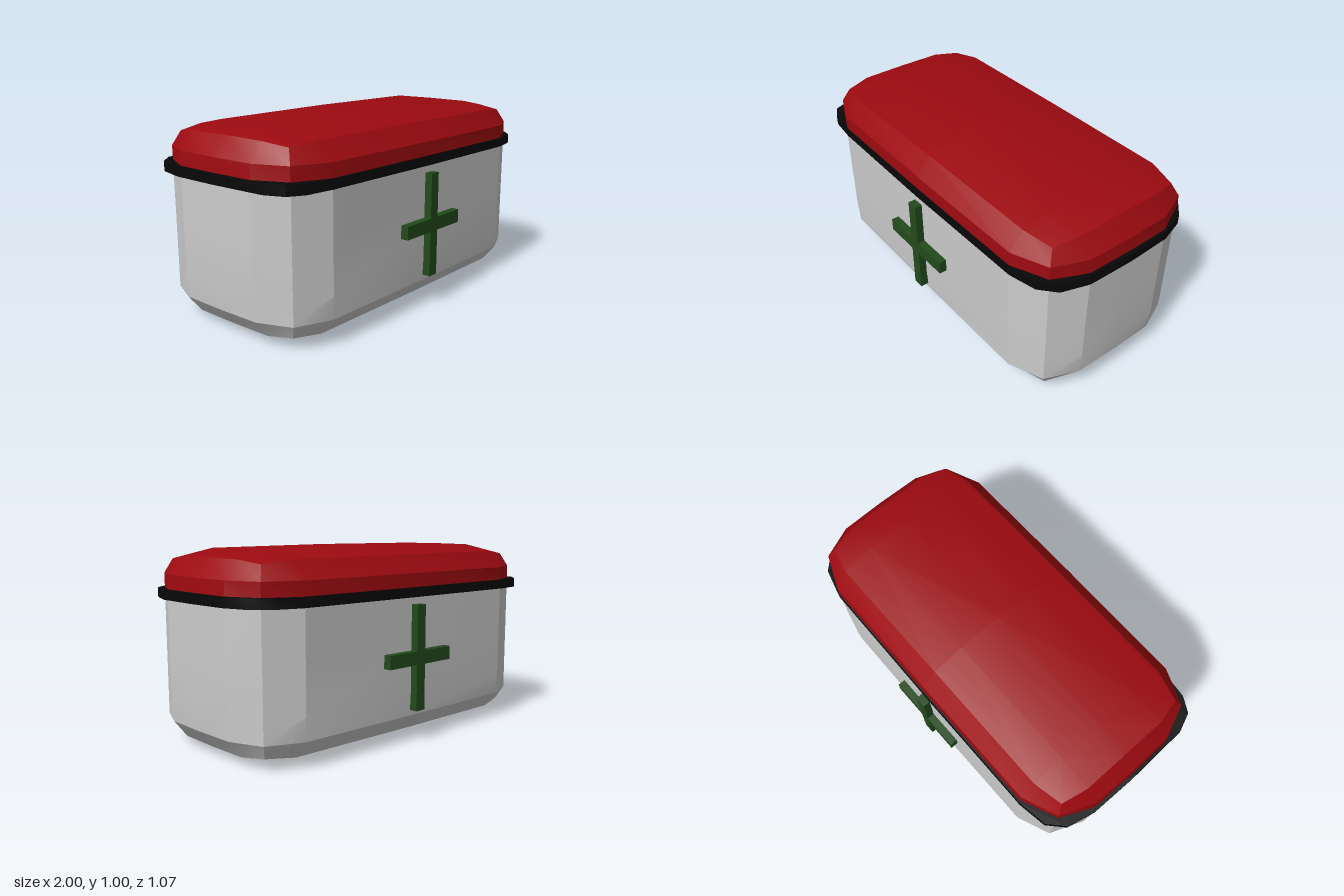
import * as THREE from 'three';
import { toCreasedNormals } from 'three/addons/utils/BufferGeometryUtils.js';

// Quarter sections [x, y, z] from front centre to side centre, rising from the base
const wall = (y) => [[0, y, 0.495], [0.72, y, 0.49], [0.9, y, 0.41], [0.98, y, 0.24], [0.985, y, 0]];
const base = [
  [[0, 0.002, 0], [0, 0.002, 0], [0, 0.002, 0], [0, 0.002, 0], [0, 0.002, 0]],
  [[0, 0.005, 0.24], [0.72, 0.01, 0.24], [0.72, 0.01, 0.24], [0.72, 0.01, 0.24], [0.72, 0.008, 0]],
  [[0, 0.043, 0.41], [0.72, 0.046, 0.41], [0.87, 0.063, 0.375], [0.9, 0.046, 0.24], [0.9, 0.043, 0]],
  [[0, 0.135, 0.489], [0.72, 0.135, 0.485], [0.9, 0.135, 0.41], [0.97, 0.135, 0.24], [0.975, 0.135, 0]],
];

// Mirror a quarter section into a closed ring
function ring(q) {
  const half = [...q, ...q.slice(0, 4).reverse().map(([x, y, z]) => [x, y, -z])];
  return [...half, ...half.slice(1, 8).reverse().map(([x, y, z]) => [-x, y, z])];
}

// Skin the rings; flip turns the shell upside down
function shell(sections, flip) {
  const rings = sections.map(ring);
  const n = rings[0].length;
  const pos = [];
  const point = (p) => new THREE.Vector3(p[0], flip ? 1 - p[1] : p[1], p[2]);
  const tri = (a, b, c) => {
    const area = b.clone().sub(a).cross(c.clone().sub(a)).length();
    if (area < 1e-7) return;
    for (const v of flip ? [a, c, b] : [a, b, c]) pos.push(v.x, v.y, v.z);
  };
  for (let r = 0; r < rings.length - 1; r++) {
    for (let i = 0; i < n; i++) {
      const j = (i + 1) % n;
      const a = point(rings[r][i]), b = point(rings[r][j]);
      const c = point(rings[r + 1][j]), d = point(rings[r + 1][i]);
      tri(a, b, c);
      tri(a, c, d);
    }
  }
  const g = new THREE.BufferGeometry();
  g.setAttribute('position', new THREE.Float32BufferAttribute(pos, 3));
  return toCreasedNormals(g, 0.41);
}

export function createModel() {
  const group = new THREE.Group();
  const add = (name, geometry, color, parent = group) => {
    const mesh = new THREE.Mesh(geometry, new THREE.MeshStandardMaterial({ color, side: THREE.DoubleSide }));
    mesh.name = name;
    parent.add(mesh);
    return mesh;
  };

  // Case and lid meet inside the rim
  add('caseBody', shell([...base, wall(0.25), wall(0.5), wall(0.77)], false), 0xcccccc);
  add('lid', shell([...base, wall(0.23)], true), 0x9c0a10);

  // Slightly uneven dark band around the seam
  const outline = [
    [-0.72, 0.492], [-0.87, 0.475], [-0.95, 0.43], [-0.99, 0.33], [-1, 0],
    [-0.995, -0.25], [-0.96, -0.4], [-0.88, -0.475], [-0.73, -0.5], [0, -0.5],
    [0.73, -0.493], [0.87, -0.455], [0.95, -0.37], [0.99, -0.24], [1, 0],
    [0.995, 0.25], [0.95, 0.39], [0.87, 0.46], [0.73, 0.493], [0, 0.5],
  ];
  const shape = new THREE.Shape(outline.map(([x, z]) => new THREE.Vector2(x, -z)));
  const inner = outline.map(([x, z]) => new THREE.Vector2(x * 0.88, -z * 0.8));
  shape.holes.push(new THREE.Path(inner));
  const band = new THREE.ExtrudeGeometry(shape, { depth: 0.05, bevelEnabled: false });
  band.rotateX(-Math.PI / 2);
  add('rim', toCreasedNormals(band, 0.6), 0x080808).position.y = 0.745;

  // Raised cross on the front and the back
  for (const [side, s] of [['front', 1], ['back', -1]]) {
    const cross = new THREE.Group();
    cross.name = side + 'Cross';
    cross.position.z = s * 0.495;
    add('uprightBar', new THREE.BoxGeometry(0.06, 0.545, 0.08), 0x234a1c, cross).position.y = 0.4375;
    for (const x of [-1, 1]) {
      add('crossArm', new THREE.BoxGeometry(0.195, 0.07, 0.08), 0x234a1c, cross).position.set(x * 0.1275, 0.44, 0);
    }
    group.add(cross);
  }
  return group;
}
